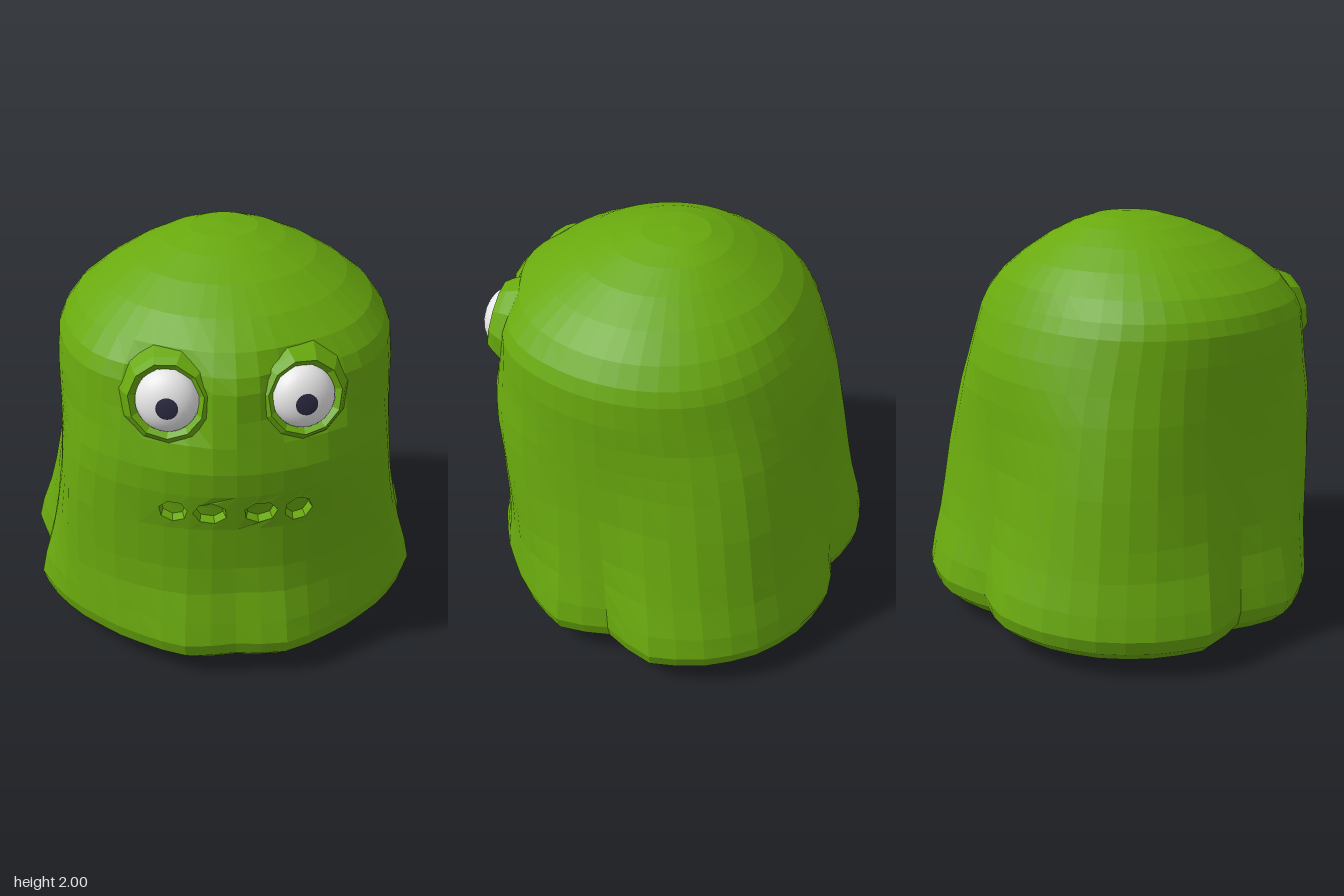
import * as THREE from 'three';

const green = new THREE.MeshStandardMaterial({ color: 0x69a90e });
green.name = 'slime green';
const white = new THREE.MeshStandardMaterial({ color: 0xe6e6e6 });
white.name = 'eye white';
const dark = new THREE.MeshStandardMaterial({ color: 0x2a2a42 });
dark.name = 'pupil navy';

const COLS = 48, STEP = (Math.PI * 2) / COLS;
const EYE = { x: 0.3, y: 1.48, z: 0.8 };
const MOUTH_TOP = 1.03, MOUTH_BOTTOM = 0.83, MOUTH_COLS = 4;

// Wavy hem radius every 15 degrees, from front to back
const HEM = [0.91, 0.95, 0.93, 0.93, 0.955, 0.985, 0.9, 1.03, 1.045, 1.04, 1.01, 0.963, 0.87];

// Rows from top to bottom: height, scale, blend towards hem, front hollow, corner flare, back lean
const ROWS = [
  [2.0, 0, 0, 0, 0, 0], [1.985, 0.2, 0, 0, 0, 0], [1.945, 0.36, 0, 0, 0, 0.02],
  [1.88, 0.54, 0, 0, 0, 0.05], [1.79, 0.72, 0, 0, 0, 0.06], [1.69, 0.87, 0, 0, 0.05, 0.08],
  [1.6, 0.95, 0, 0, 0.1, 0.09], [1.53, 0.985, 0, 0, 0.1, 0.08], [1.4, 1, 0, 0, 0.1, 0.04],
  [1.28, 1, 0, -0.01, 0.16, 0.01], [1.15, 1, 0.01, -0.02, 0.28, 0],
  [MOUTH_TOP, 1, 0.04, -0.01, 0.36, 0], [MOUTH_BOTTOM, 1, 0.14, 0.03, 0.43, 0],
  [0.6, 1, 0.38, 0.05, 0.33, 0], [0.46, 1, 0.58, 0.05, 0.22, 0],
  [0.31, 1, 0.86, 0.02, 0.07, 0], [0.2, 1, 1, 0, 0, 0], [0.13, 0.98, 1, 0, 0, 0],
  [0.07, 0.91, 1, 0, 0, 0], [0.03, 0.76, 1, 0, 0, 0], [0, 0, 1, 0, 0, 0],
];

function hemRadius(a) {
  const d = Math.abs(Math.atan2(Math.sin(a), Math.cos(a))) / (Math.PI / 12);
  const i = Math.min(11, Math.floor(d));
  return THREE.MathUtils.lerp(HEM[i], HEM[i + 1], d - i);
}

// Point of the body skin at an angle (0 = front) and height
function skin(a, y) {
  let i = 0;
  while (i < ROWS.length - 2 && ROWS[i + 1][0] > y) i++;
  const A = ROWS[i], B = ROWS[i + 1], k = (A[0] - y) / (A[0] - B[0]);
  const [, s, blend, hollow, flare, lean] = A.map((v, n) => THREE.MathUtils.lerp(v, B[n], k));
  const r = hemRadius(a), sin = Math.sin(a), cos = Math.cos(a);
  // the four corners widen earlier than the sides
  const corner = Math.sin(2 * a) ** 2;
  const w = Math.min(1, blend + flare * (cos > 0 ? 2 * corner * corner : corner));
  const x = s * THREE.MathUtils.lerp(0.81 * sin, r * sin, w);
  let z = s * THREE.MathUtils.lerp(0.07 + 0.83 * cos, r * cos, w);
  z += lean * Math.max(0, -cos) - hollow * Math.max(0, cos) ** 2;
  // hollows behind the eyes
  if (cos > 0) z -= 0.11 * Math.exp(-((Math.abs(x) - EYE.x) ** 2 + (y - EYE.y) ** 2) / 0.025);
  return new THREE.Vector3(x, y, z);
}

// Faceted mesh from a list of triangle corners
function facetMesh(name, points) {
  const g = new THREE.BufferGeometry().setFromPoints(points);
  g.computeVertexNormals();
  const m = new THREE.Mesh(g, green);
  m.name = name;
  return m;
}

function makeBody() {
  const pts = [];
  for (let i = 0; i < ROWS.length - 1; i++) {
    for (let j = -COLS / 2; j < COLS / 2; j++) {
      // leave the mouth panels open
      if (ROWS[i][0] === MOUTH_TOP && j >= -MOUTH_COLS && j < MOUTH_COLS) continue;
      const y0 = ROWS[i][0], y1 = ROWS[i + 1][0];
      const a = skin(j * STEP, y0), b = skin((j + 1) * STEP, y0);
      const c = skin(j * STEP, y1), d = skin((j + 1) * STEP, y1);
      if (i < ROWS.length - 2) pts.push(a, c, d);
      else pts.push(a, c, b);
      if (i > 0 && i < ROWS.length - 2) pts.push(a, d, b);
    }
  }
  return facetMesh('body', pts);
}

// Mouth: four panels, each two columns wide, with an uneven hole and a shallow pocket
function makeMouth() {
  const group = new THREE.Group();
  group.name = 'mouth';
  const holes = [
    [-0.275, 0.93, 0.06, 0.058, 0.2], [-0.117, 0.93, 0.077, 0.06, 0.5],
    [0.11, 0.93, 0.077, 0.06, 0.1], [0.276, 0.92, 0.06, 0.066, 0.75],
  ];
  const front = [], pocket = [];
  holes.forEach(([cx, cy, rx, ry, turn], h) => {
    const first = -MOUTH_COLS + 2 * h;
    const corner = (j, y) => new THREE.Vector2((first + j) * STEP, y);
    const panel = new THREE.Shape([
      ...[0, 1, 2].map((j) => corner(j, MOUTH_BOTTOM)),
      ...[2, 1, 0].map((j) => corner(j, MOUTH_TOP)),
    ]);
    const loop = [];
    for (let k = 0; k < 7; k++) {
      const t = turn + (k / 7) * Math.PI * 2;
      loop.push(new THREE.Vector2(Math.asin((cx + rx * Math.cos(t)) / 0.81), cy + ry * Math.sin(t)));
    }
    panel.holes.push(new THREE.Path(loop));
    const flat = new THREE.ShapeGeometry(panel).toNonIndexed().attributes.position;
    for (let i = 0; i < flat.count; i++) front.push(skin(flat.getX(i), flat.getY(i)));

    const rim = loop.map((p) => skin(p.x, p.y));
    const back = rim.map((p) => new THREE.Vector3(cx + (p.x - cx) * 0.85, cy + (p.y - cy) * 0.85, p.z - 0.05));
    const mid = back.reduce((s, p) => s.add(p), new THREE.Vector3()).divideScalar(7);
    for (let k = 0; k < 7; k++) {
      const n = (k + 1) % 7;
      pocket.push(rim[k], rim[n], back[n], rim[k], back[n], back[k], mid, back[k], back[n]);
    }
  });
  group.add(facetMesh('mouthPanels', front), facetMesh('mouthPockets', pocket));
  return group;
}

function makeEye(side) {
  const eye = new THREE.Group();
  eye.name = side > 0 ? 'leftEye' : 'rightEye';
  const add = (name, geometry, material) => {
    const m = new THREE.Mesh(geometry, material);
    m.name = name;
    eye.add(m);
  };
  // raised eyelid ring, flaring into the head
  const profile = [[0.29, -0.16], [0.2, -0.005], [0.172, 0.03], [0.146, 0.005], [0.13, -0.06]]
    .map(([r, h]) => new THREE.Vector2(r, h));
  const ring = new THREE.LatheGeometry(profile, 11).rotateX(Math.PI / 2).toNonIndexed();
  ring.computeVertexNormals();
  add('socket', ring, green);
  // flattened eyeball and its pupil cap
  add('eyeball', new THREE.SphereGeometry(0.143, 28, 20).scale(1, 1, 0.65), white);
  const cap = new THREE.SphereGeometry(0.146, 20, 4, 0, Math.PI * 2, 0, 0.35)
    .rotateX(Math.PI / 2).rotateX(0.1).rotateY(-0.1 * side).scale(1, 1, 0.65);
  add('pupil', cap, dark);
  eye.position.set(EYE.x * side, EYE.y, EYE.z);
  eye.rotation.set(-0.2, 0.2 * side, 0);
  return eye;
}

export function createModel() {
  const model = new THREE.Group();
  model.name = 'blobCreature';
  model.add(makeBody(), makeMouth(), makeEye(1), makeEye(-1));
  return model;
}
